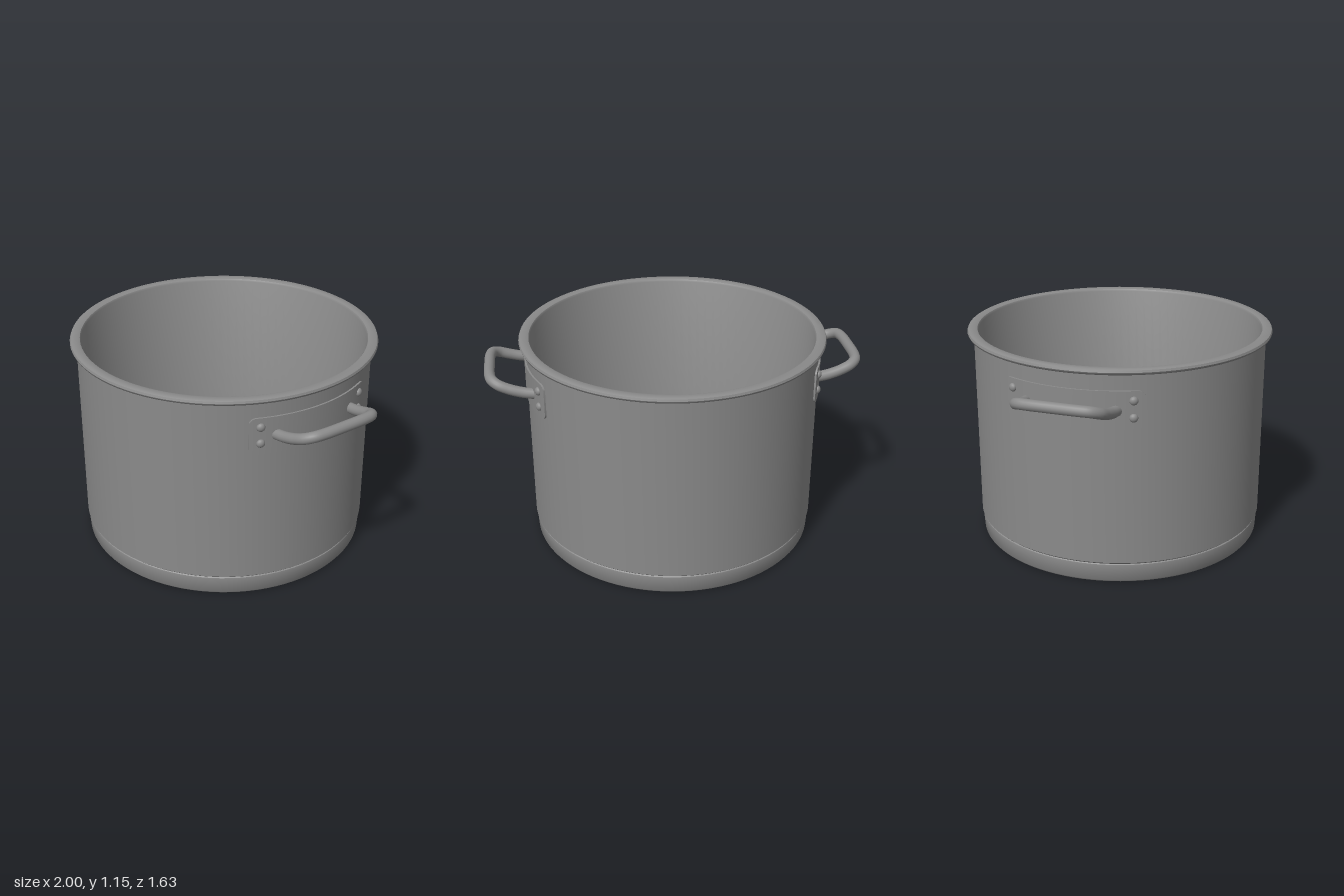
import * as THREE from 'three';
import { toCreasedNormals } from 'three/addons/utils/BufferGeometryUtils.js';

const steel = new THREE.MeshStandardMaterial({ color: 0x8a8a8a });
steel.name = 'steel';

const WALL = 0.78; // outer wall radius

function part(name, geometry) {
  const mesh = new THREE.Mesh(geometry, steel);
  mesh.name = name;
  return mesh;
}

// Base, wall, rolled rim, inner wall and floor in one turned profile
function potBody() {
  const profile = [
    [0, 0], [0.752, 0], [0.763, 0.003], [0.77, 0.012], [0.775, 0.095],
    [0.774, 0.102], [0.769, 0.106], [0.774, 0.11], [WALL, 0.116],
    [WALL, 1.115], [0.785, 1.119], [0.8, 1.119], [0.809, 1.124],
    [0.813, 1.134], [0.809, 1.145], [0.8, 1.15], [0.772, 1.15],
    [0.76, 1.146], [0.754, 1.136],
    [0.753, 0.16], [0.748, 0.141], [0.738, 0.13], [0.72, 0.125], [0, 0.125],
  ].map(([r, y]) => new THREE.Vector2(r, y));
  return part('potBody', toCreasedNormals(new THREE.LatheGeometry(profile, 96), 0.7));
}

// Rounded plate wrapped around the wall
function mountPlate() {
  const half = 0.365, halfHeight = 0.098, corner = 0.035;
  const geo = new THREE.BoxGeometry(2, 2, 1, 48, 1, 1);
  const pos = geo.attributes.position;
  for (let i = 0; i < pos.count; i++) {
    const z = -half * Math.sin(pos.getX(i) * Math.PI / 2); // denser towards the ends
    const over = Math.max(0, Math.abs(z) - (half - corner));
    const h = halfHeight - corner + Math.sqrt(Math.max(0, corner * corner - over * over));
    const radius = pos.getZ(i) > 0 ? WALL + 0.009 : WALL - 0.008;
    const angle = Math.asin(z / (WALL + 0.009));
    pos.setXYZ(i, radius * Math.cos(angle), 0.938 + pos.getY(i) * h, radius * Math.sin(angle));
  }
  return part('mountPlate', toCreasedNormals(geo, 0.6));
}

// Bent rod: rises outward from the plate to a straight grip
function grip() {
  const side = [
    [0.73, 0.933, 0.232], [0.8, 0.943, 0.228], [0.87, 0.962, 0.222],
    [0.925, 0.983, 0.209], [0.957, 0.997, 0.178], [0.969, 1.001, 0.125],
  ];
  const mirrored = side.map(([x, y, z]) => [x, y, -z]).reverse();
  const points = [...side, [0.972, 1.002, 0], ...mirrored].map((p) => new THREE.Vector3(...p));
  return part('grip', new THREE.TubeGeometry(new THREE.CatmullRomCurve3(points), 80, 0.028, 16));
}

// Domed rivet standing out of the plate
function rivet(y, z) {
  const mesh = part('rivet', new THREE.SphereGeometry(0.022, 16, 10));
  const angle = Math.asin(z / WALL);
  const r = WALL + 0.009;
  mesh.position.set(r * Math.cos(angle), y, r * Math.sin(angle));
  mesh.rotation.y = -angle;
  mesh.scale.x = 0.75;
  return mesh;
}

function handle(name) {
  const group = new THREE.Group();
  group.name = name;
  group.add(mountPlate(), grip());
  for (const y of [0.9, 0.987]) for (const z of [-0.308, 0.308]) group.add(rivet(y, z));
  return group;
}

export function createModel() {
  const pot = new THREE.Group();
  pot.name = 'cookingPot';
  const left = handle('leftHandle');
  const right = handle('rightHandle');
  right.rotation.y = Math.PI;
  pot.add(potBody(), left, right);
  return pot;
}
